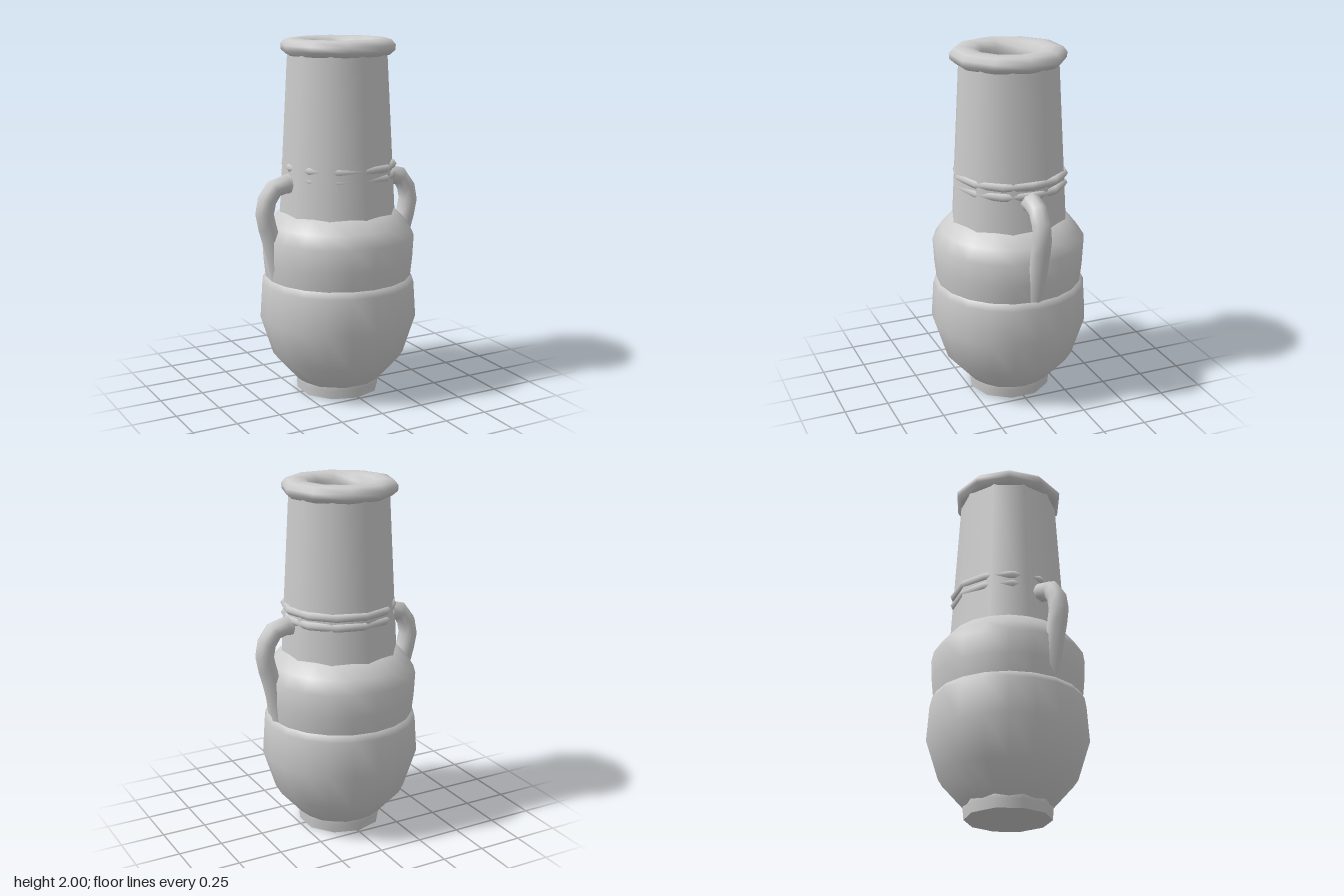
import * as THREE from 'three';

const material = new THREE.MeshStandardMaterial({ color: 0xcccccc, side: THREE.DoubleSide });

// Turned part from [radius, height] pairs; a repeated pair makes a sharp edge
function turned(name, profile, sides, turn = 0) {
  const points = profile.map(([r, y]) => new THREE.Vector2(r, y));
  const mesh = new THREE.Mesh(new THREE.LatheGeometry(points, sides), material);
  mesh.name = name;
  mesh.rotation.y = turn;
  mesh.position.x = -0.006;
  return mesh;
}

export function createModel() {
  const group = new THREE.Group();
  group.name = 'vase';

  // Foot
  group.add(turned('foot', [
    [0, 0], [0.235, 0], [0.235, 0], [0.24, 0.05], [0.245, 0.13], [0.2, 0.16],
  ], 10));

  // Lower belly
  group.add(turned('lowerBelly', [
    [0.2, 0.04], [0.25, 0.08], [0.375, 0.22], [0.445, 0.44], [0.432, 0.64], [0.41, 0.68], [0.36, 0.7],
  ], 20));

  // Shoulder, set into the belly
  group.add(turned('shoulder', [
    [0.38, 0.55], [0.41, 0.66], [0.423, 0.78], [0.43, 0.91], [0.385, 0.98], [0.325, 1.045], [0.26, 1.06],
  ], 20));

  // Tapered neck
  group.add(turned('neck', [[0.33, 1.0], [0.278, 1.93]], 10));

  // Rounded lip with the inside of the mouth
  group.add(turned('lip', [
    [0.24, 1.91], [0.285, 1.91], [0.315, 1.935], [0.318, 1.965], [0.295, 1.993], [0.25, 2],
    [0.19, 1.993], [0.162, 1.96], [0.16, 1.92], [0.16, 1.1], [0.16, 1.1], [0, 1.1],
  ], 10, Math.PI / 2));

  // Two bands around the neck, slightly off centre
  for (const [y, r] of [[1.305, 0.298], [1.25, 0.296]]) {
    const band = new THREE.Mesh(new THREE.TorusGeometry(r, 0.024, 6, 12), material);
    band.name = 'neckBand';
    band.rotation.x = Math.PI / 2;
    band.position.set(0.004, y, -0.005);
    group.add(band);
  }

  // Handles, mirrored left and right
  for (const side of [1, -1]) {
    const path = new THREE.CatmullRomCurve3([
      [0.25, 1.21], [0.34, 1.218], [0.41, 1.19], [0.457, 1.08], [0.42, 0.91], [0.365, 0.69],
    ].map(([x, y]) => new THREE.Vector3(side * x, y, 0)));
    const handle = new THREE.Mesh(new THREE.TubeGeometry(path, 9, 0.054, 8), material);
    handle.name = side > 0 ? 'leftHandle' : 'rightHandle';
    group.add(handle);
  }

  return group;
}
